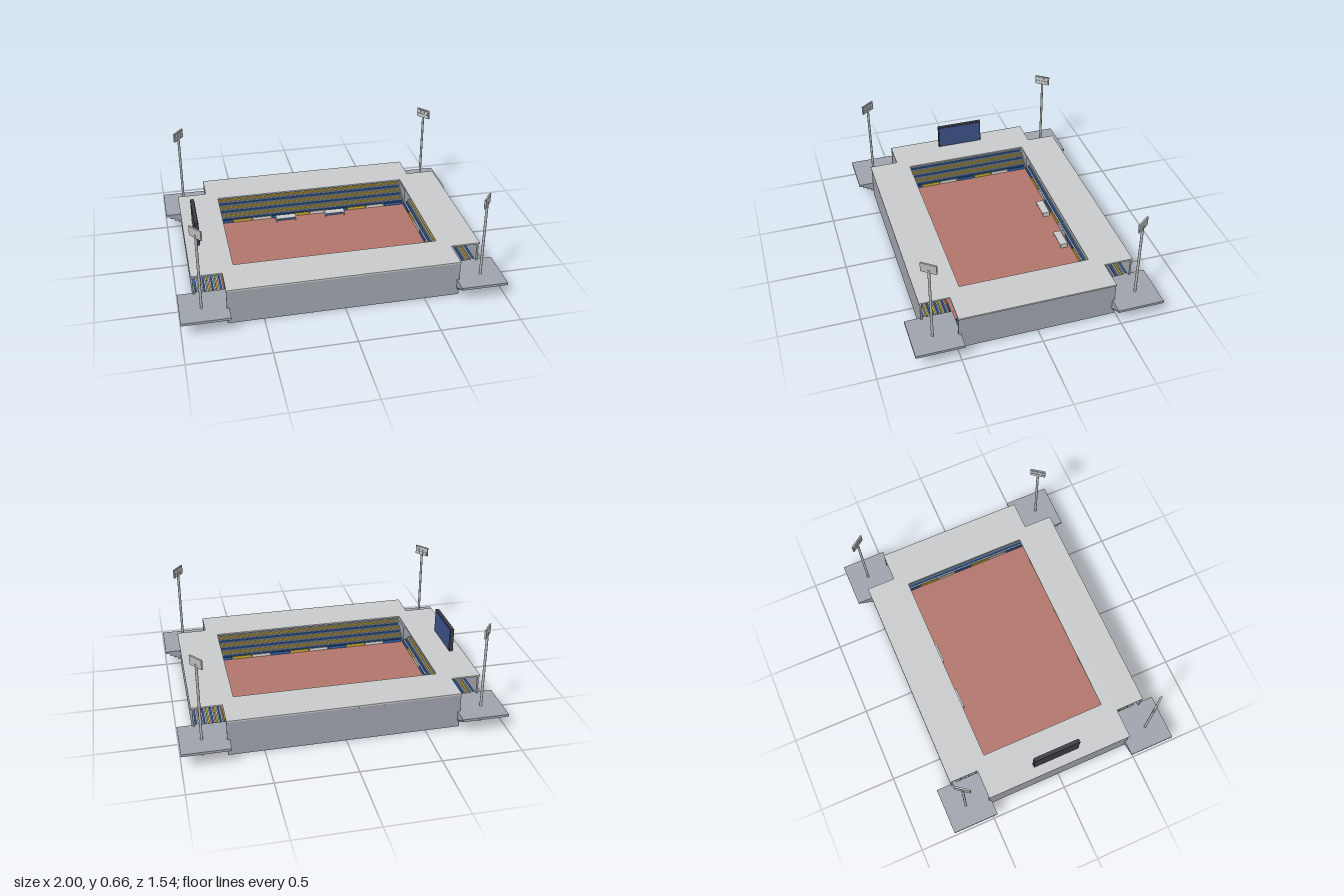
import * as THREE from 'three';

const mat = (name, color) => {
  const m = new THREE.MeshStandardMaterial({ color });
  m.name = name;
  return m;
};

export function createModel() {
  const concrete = mat('concrete', 0x9ea2ab);
  const roofGrey = mat('roof grey', 0xc8c9ca);
  const court = mat('clay red', 0xb0746a);
  const steel = mat('steel', 0xb6b8b8);
  const frameDark = mat('frame dark', 0x3c3d45);
  const screenBlue = mat('screen blue', 0x3a5186);
  const blue = mat('seat blue', 0x2f62a8);
  const yellow = mat('seat yellow', 0xccae36);
  const white = mat('board white', 0xdcdcda);

  const model = new THREE.Group();
  model.name = 'stadium';

  // box given by its minimum and maximum corners
  const box = (parent, name, m, x0, x1, y0, y1, z0, z1) => {
    const mesh = new THREE.Mesh(new THREE.BoxGeometry(x1 - x0, y1 - y0, z1 - z0), m);
    mesh.position.set((x0 + x1) / 2, (y0 + y1) / 2, (z0 + z1) / 2);
    mesh.name = name;
    parent.add(mesh);
    return mesh;
  };
  const cylinder = (parent, name, m, r, x, y0, y1, z) => {
    const mesh = new THREE.Mesh(new THREE.CylinderGeometry(r, r, y1 - y0, 12), m);
    mesh.position.set(x, (y0 + y1) / 2, z);
    mesh.name = name;
    parent.add(mesh);
  };

  const PX = 0.705, PZ = 0.475;      // half size of the playing field
  const ROWS = 7, RISE = 0.0157, RUN = 0.027;

  box(model, 'playingField', court, -PX, PX, 0, 0.006, -PZ, PZ);

  // One side of the ground, built facing -z with the field edge at z = edge
  const addSide = (name, angle, edge, half, wallHalf, beams) => {
    const side = new THREE.Group();
    side.name = name;
    side.rotation.y = angle;
    model.add(side);

    // stepped terrace with a bar of seats on every row
    for (let i = 0; i < ROWS; i++) {
      const z = edge + i * RUN, y = i * RISE;
      const end = Math.min(z + RUN + 0.012, edge + 0.185);
      box(side, 'terraceRow', concrete, -half, half, y, y + RISE - 0.003, z, end);
      box(side, 'seatRow', i % 2 ? yellow : blue, -half + 0.01, half - 0.01,
        y + RISE - 0.003, y + RISE + 0.007 - (i === ROWS - 1 ? 0.005 : 0), z + 0.010, z + 0.020);
    }

    // outer wall and roof beams whose ends show through it
    box(side, 'outerWall', concrete, -wallHalf, wallHalf, 0, 0.229, edge + 0.186, edge + 0.197);
    for (const x of beams) {
      box(side, 'roofBeam', steel, x - 0.004, x + 0.004, 0.222, 0.229, edge - 0.05, edge + 0.2);
    }

    // boards around the field
    const n = Math.round(half / 0.07);
    const w = (2 * half - 0.04) / n;
    const colours = [blue, white, yellow];
    for (let i = 0; i < n; i++) {
      const x = -half + 0.02 + i * w;
      box(side, 'fieldBoard', colours[i % 3], x, x + w - 0.006, 0.006, 0.026, edge - 0.014, edge - 0.007);
    }
  };
  const longBeams = [-0.55, -0.39, -0.235, -0.08, 0.08, 0.235, 0.39, 0.55];
  const shortBeams = [-0.32, -0.16, 0, 0.16, 0.32];
  addSide('frontStand', 0, PZ, PX, 0.72, longBeams);
  addSide('backStand', Math.PI, PZ, PX, 0.72, longBeams);
  addSide('leftStand', Math.PI / 2, PX, PZ, 0.49, shortBeams);
  addSide('rightStand', -Math.PI / 2, PX, PZ, 0.49, shortBeams);

  // Roof: cross-shaped plate with a rectangular opening
  const outline = [
    [-0.72, -0.677], [0.72, -0.677], [0.72, -0.49], [0.91, -0.49], [0.91, 0.49], [0.72, 0.49],
    [0.72, 0.677], [-0.72, 0.677], [-0.72, 0.49], [-0.91, 0.49], [-0.91, -0.49], [-0.72, -0.49],
  ].map(([x, y]) => new THREE.Vector2(x, y));
  const roofShape = new THREE.Shape(outline);
  roofShape.holes.push(new THREE.Path(
    [[-0.645, -0.413], [-0.645, 0.413], [0.645, 0.413], [0.645, -0.413]]
      .map(([x, y]) => new THREE.Vector2(x, y))));
  const roofGeo = new THREE.ExtrudeGeometry(roofShape, { depth: 0.01, bevelEnabled: false });
  roofGeo.rotateX(-Math.PI / 2);
  const roof = new THREE.Mesh(roofGeo, roofGrey);
  roof.position.y = 0.229;
  roof.name = 'roof';
  model.add(roof);

  // Corners: stacked terraces that widen upwards, each with a floodlight mast
  for (const sx of [-1, 1]) {
    for (const sz of [-1, 1]) {
      const corner = new THREE.Group();
      corner.name = 'corner';
      model.add(corner);
      for (let i = 0; i < ROWS; i++) {
        const w = 0.133 + i * RUN;
        const a = sx * PX, b = sx * (PX + w), c = sz * PZ, d = sz * (PZ + w);
        box(corner, 'cornerTerrace', concrete, Math.min(a, b), Math.max(a, b),
          i * RISE, (i + 1) * RISE, Math.min(c, d), Math.max(c, d));
      }
      const x = sx * 0.867, z = sz * 0.638;
      cylinder(corner, 'floodlightMast', steel, 0.008, x, 0, 0.62, z);

      // lamp panel turned towards the centre of the field
      const head = new THREE.Group();
      head.name = 'floodlightHead';
      head.position.set(x, 0.63, z);
      head.rotation.y = Math.atan2(-sx * 0.8, -sz * 0.6);
      corner.add(head);
      box(head, 'lampPanel', steel, -0.05, 0.05, -0.03, 0.03, -0.005, 0.005);
      for (let r = 0; r < 2; r++) {
        for (let k = 0; k < 3; k++) {
          const lx = (k - 1) * 0.031, ly = (r - 0.5) * 0.028;
          box(head, 'lamp', roofGrey, lx - 0.012, lx + 0.012, ly - 0.01, ly + 0.01, 0.005, 0.008);
        }
      }
    }
  }

  // Scoreboard on two posts
  box(model, 'scoreboardFrame', frameDark, -0.845, -0.822, 0.24, 0.4, -0.155, 0.155);
  box(model, 'scoreboardScreen', screenBlue, -0.822, -0.819, 0.247, 0.393, -0.147, 0.147);
  for (const z of [-0.12, 0.12]) cylinder(model, 'scoreboardPost', steel, 0.006, -0.834, 0, 0.25, z);

  // Team shelters by the back touchline
  for (const x of [-0.177, 0.173]) {
    const shelter = new THREE.Group();
    shelter.name = 'teamShelter';
    model.add(shelter);
    const a = x - 0.069, b = x + 0.069;
    box(shelter, 'shelterRoof', roofGrey, a, b, 0.034, 0.039, -0.44, -0.388);
    box(shelter, 'shelterBack', roofGrey, a, b, 0.006, 0.034, -0.44, -0.434);
    box(shelter, 'shelterEnd', roofGrey, a, a + 0.005, 0.006, 0.034, -0.434, -0.395);
    box(shelter, 'shelterEnd', roofGrey, b - 0.005, b, 0.006, 0.034, -0.434, -0.395);
    box(shelter, 'shelterBench', blue, a + 0.005, b - 0.005, 0.006, 0.016, -0.434, -0.418);
  }

  return model;
}
